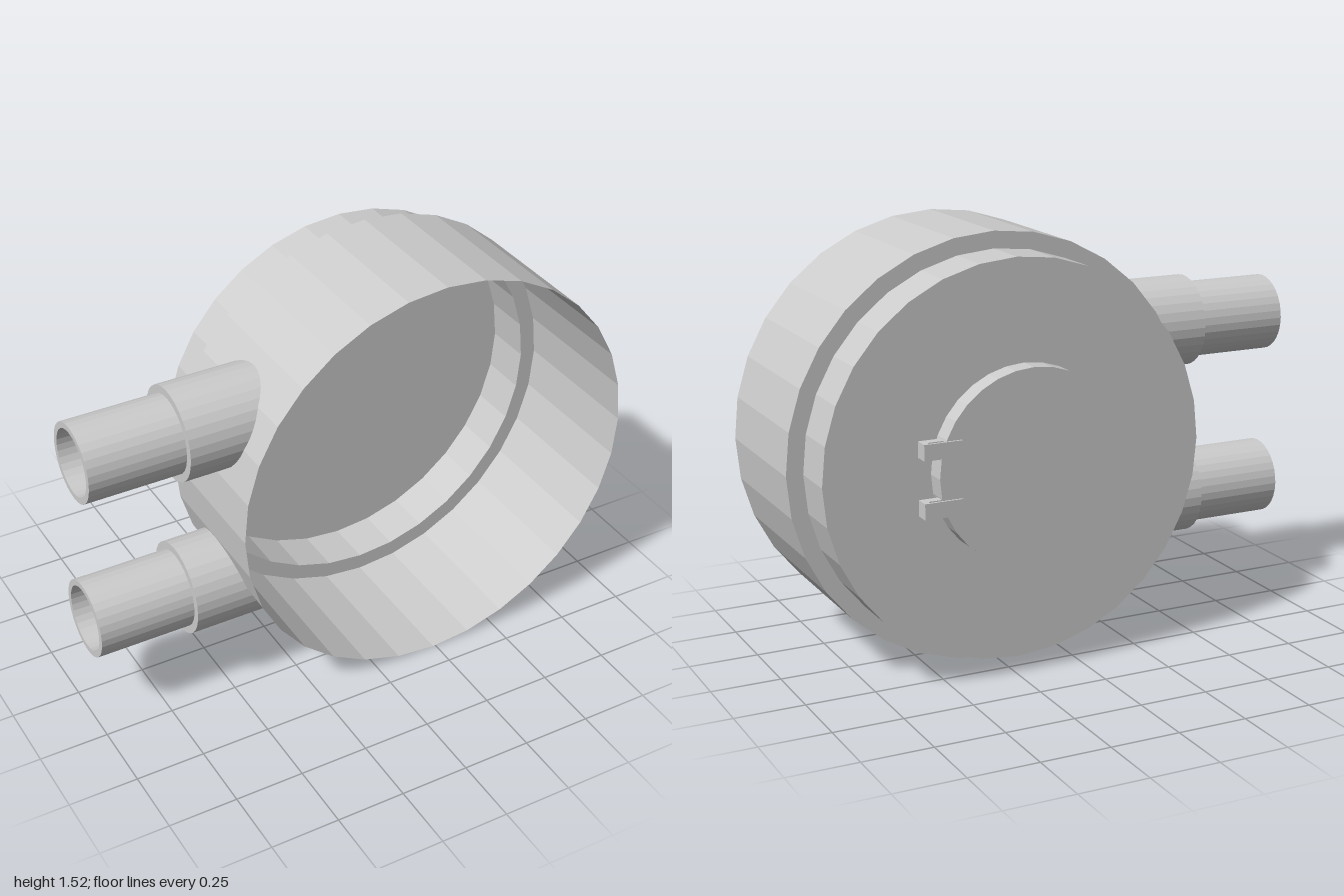
import * as THREE from 'three';

const SIDES = 32;
const CX = 0.24, CY = 0.762, R = 0.76; // drum axis and radius

const material = new THREE.MeshStandardMaterial({ color: 0xcccccc, flatShading: true, side: THREE.DoubleSide });

function part(name, geometry, x = 0, y = 0, z = 0) {
  const mesh = new THREE.Mesh(geometry, material);
  mesh.name = name;
  mesh.position.set(x, y, z);
  return mesh;
}

function lathe(points) {
  return new THREE.LatheGeometry(points.map(([r, h]) => new THREE.Vector2(r, h)), SIDES);
}

// x of the drum's faceted wall on the pipe side at height y
function wallX(y) {
  const step = (2 * Math.PI) / SIDES;
  let a = Math.asin((y - CY) / R);
  for (let i = 0; i < 6; i++) {
    const off = a - (Math.floor(a / step) + 0.5) * step;
    const r = (R * Math.cos(step / 2)) / Math.cos(off);
    a = Math.asin((y - CY) / r);
  }
  return CX - (y - CY) / Math.tan(a);
}

// Hollow pipe with a wider sleeve, its inner end fitted to the drum wall
function pipeGeometry(y) {
  const g = lathe([[0.118, 0], [0.118, -1], [0.14, -1], [0.14, -0.655], [0.168, -0.655], [0.168, 0]]);
  g.rotateZ(-Math.PI / 2);
  const p = g.attributes.position;
  for (let i = 0; i < p.count; i++) {
    if (p.getX(i) > -0.3) p.setX(i, wallX(p.getY(i) + y));
  }
  g.computeVertexNormals();
  return g;
}

// Small hooked clip, drawn in x and z, extruded along y
function clipGeometry(height) {
  const outline = [
    [0.485, -0.405], [0.622, -0.405], [0.622, -0.353], [0.545, -0.353],
    [0.545, -0.385], [0.602, -0.385], [0.602, -0.397], [0.485, -0.397],
  ];
  const shape = new THREE.Shape(outline.map(([x, z]) => new THREE.Vector2(x, -z)));
  const g = new THREE.ExtrudeGeometry(shape, { depth: height, bevelEnabled: false });
  g.translate(0, 0, -height / 2);
  g.rotateX(-Math.PI / 2);
  return g;
}

export function createModel() {
  const model = new THREE.Group();
  model.name = 'pipedHousing';

  // Stepped drum, a thin shell open at the front
  const shell = lathe([[0, -0.309], [0.7, -0.309], [0.7, -0.131], [R, -0.131], [R, 0.405]]);
  shell.rotateX(Math.PI / 2);
  model.add(part('drumShell', shell, CX, CY, 0));

  // Round cover on the back
  const cover = new THREE.CylinderGeometry(0.343, 0.343, 0.075, SIDES);
  cover.rotateX(Math.PI / 2);
  model.add(part('backCover', cover, 0.218, CY, -0.3515));

  // Two pipes on the right side
  [['upperPipe', 1.086], ['lowerPipe', 0.441]].forEach(([name, y]) => {
    model.add(part(name, pipeGeometry(y), 0, y, 0.133));
  });

  // Two clips at the cover's edge
  [['upperClip', 0.864], ['lowerClip', 0.664]].forEach(([name, y]) => {
    model.add(part(name, clipGeometry(0.056), 0, y, 0));
  });

  return model;
}
